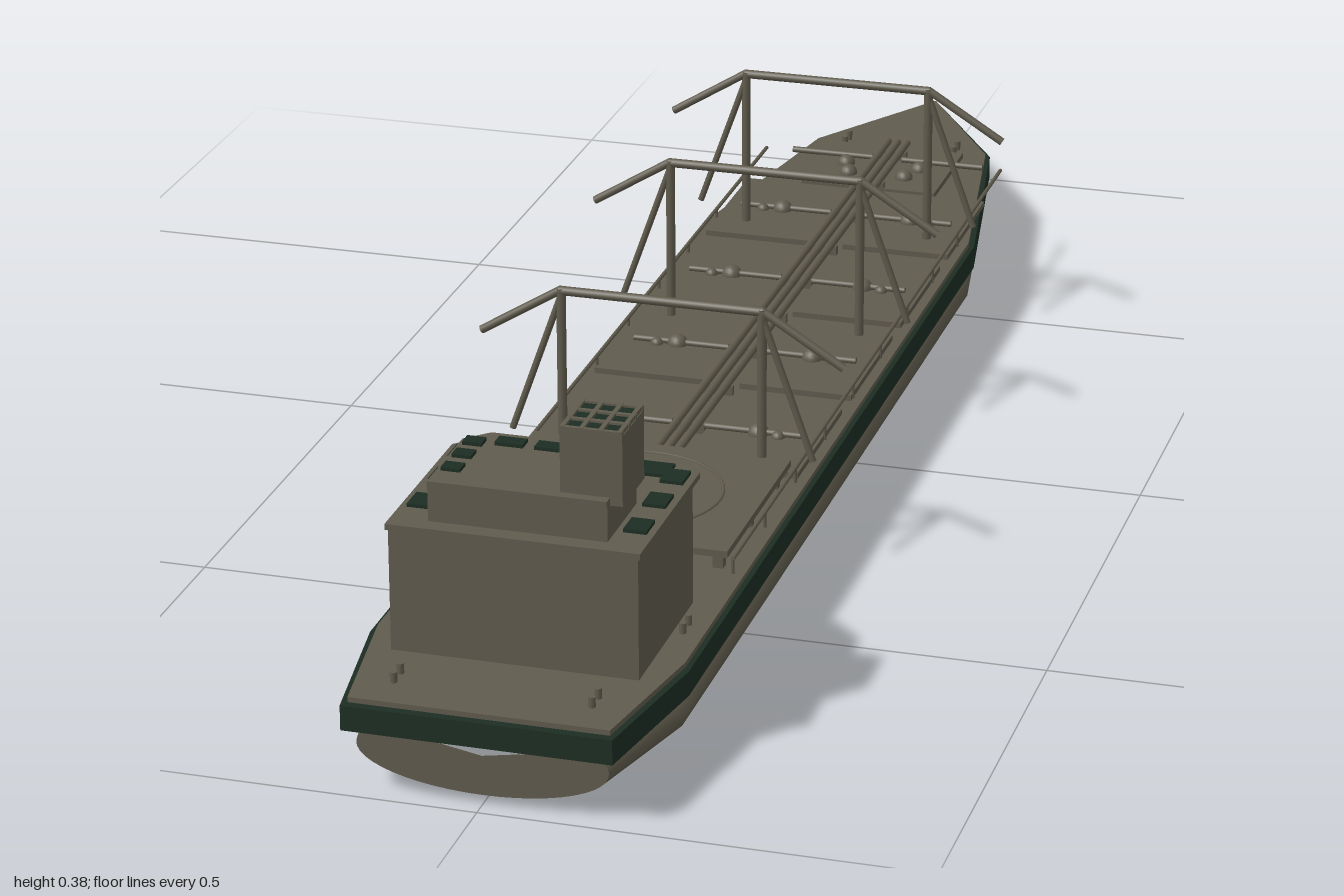
import * as THREE from 'three';
import { toCreasedNormals } from 'three/addons/utils/BufferGeometryUtils.js';

export function createModel() {
  const ship = new THREE.Group();
  ship.name = 'ship';
  const olive = new THREE.MeshStandardMaterial({ color: 0x605b4d });
  olive.name = 'olive grey';
  const green = new THREE.MeshStandardMaterial({ color: 0x1e2e24 });
  green.name = 'dark green';

  const add = (name, geo, mat = olive) => {
    const m = new THREE.Mesh(geo, mat);
    m.name = name;
    ship.add(m);
    return m;
  };
  const box = (name, x0, x1, y0, y1, z0, z1, mat) => {
    const g = new THREE.BoxGeometry(x1 - x0, y1 - y0, z1 - z0);
    return add(name, g.translate((x0 + x1) / 2, (y0 + y1) / 2, (z0 + z1) / 2), mat);
  };
  // round bar between two points
  const bar = (name, a, b, r) => {
    const p = new THREE.Vector3(...a), q = new THREE.Vector3(...b);
    const d = q.clone().sub(p);
    const m = add(name, new THREE.CylinderGeometry(r, r, d.length(), 10));
    m.position.copy(p).add(q).multiplyScalar(0.5);
    m.quaternion.setFromUnitVectors(new THREE.Vector3(0, 1, 0), d.normalize());
  };
  // horizontal slab from the +x half of its plan outline, given as (x, z)
  const slab = (name, half, y0, y1, mat) => {
    const all = [...half, ...half.map(([x, z]) => [-x, z]).reverse()];
    const s = new THREE.Shape(all.map(([x, z]) => new THREE.Vector2(x, -z)));
    const g = new THREE.ExtrudeGeometry(s, { depth: y1 - y0, bevelEnabled: false });
    return add(name, g.rotateX(-Math.PI / 2).translate(0, y0, 0), mat);
  };

  // Lower hull: clipped elliptical sections [z, half width, keel height]
  const stations = [[0.98, 0.14, 0.014], [0.82, 0.177, 0.004], [0.2, 0.177, 0.003],
    [-0.46, 0.176, 0.003], [-0.8, 0.118, 0.016], [-1, 0.002, 0.072]];
  const N = 32, start = Math.asin(0.35 / 0.65), pos = [], idx = [];
  stations.forEach(([z, w, keel]) => {
    const ry = (0.081 - keel) * 0.65;
    for (let j = 0; j <= N; j++) {
      const a = start - (j / N) * (Math.PI + 2 * start);
      pos.push(w * Math.cos(a), keel + ry + ry * Math.sin(a), z);
    }
  });
  for (let i = 0; i < stations.length - 1; i++) {
    for (let j = 0; j < N; j++) {
      const a = i * (N + 1) + j, b = a + N + 1;
      idx.push(a, a + 1, b, a + 1, b + 1, b);
    }
  }
  const centre = pos.length / 3;
  pos.push(0, 0.06, 0.98);
  for (let j = 0; j < N; j++) idx.push(centre, j + 1, j);
  const hull = new THREE.BufferGeometry();
  hull.setAttribute('position', new THREE.Float32BufferAttribute(pos, 3));
  hull.setIndex(idx);
  add('lowerHull', toCreasedNormals(hull, 0.5));

  // Green band and deck
  const plan = [[0.15, 1], [0.18, 0.82], [0.178, -0.48], [0.12, -0.81], [0.001, -1]];
  slab('hullBand', plan, 0.079, 0.108, green);
  slab('deck', plan.map(([x, z]) => [x * 0.965, z * 0.99]), 0.108, 0.114);

  // Deck panels with cross pipes and domes
  const dome = (x, y, z, r) => add('tankDome',
    new THREE.SphereGeometry(r, 12, 6, 0, Math.PI * 2, 0, Math.PI / 2).translate(x, y, z));
  for (const s of [-1, 1]) {
    const side = (name, x0, x1, ...rest) => box(name, Math.min(s * x0, s * x1), Math.max(s * x0, s * x1), ...rest);
    for (let i = 0; i < 4; i++) {
      const z = -0.51 + 0.24 * i;
      side('deckPanel', 0.022, 0.16, 0.114, 0.121, z - 0.1, z + 0.1);
      bar('crossPipe', [s * 0.02, 0.124, z], [s * 0.14, 0.124, z], 0.004);
      dome(s * 0.085, 0.121, z, 0.013);
      dome(s * 0.11, 0.121, z + 0.005, 0.008);
    }
    side('bowPanel', 0.022, 0.09, 0.114, 0.121, -0.78, -0.62);
    bar('bowCrossPipe', [s * 0.02, 0.124, -0.725], [s * 0.13, 0.124, -0.725], 0.004);
    dome(s * 0.05, 0.121, -0.7, 0.012);
    dome(s * 0.038, 0.121, -0.665, 0.012);
    // side rails on posts
    bar('sideRail', [s * 0.16, 0.132, -0.7], [s * 0.16, 0.132, 0.58], 0.0025);
    for (let z = -0.46; z < 0.6; z += 0.13) bar('railPost', [s * 0.16, 0.11, z], [s * 0.16, 0.132, z], 0.002);
    // bollards
    for (const [x, z] of [[0.11, 0.92], [0.075, -0.81], [0.15, 0.72]])
      for (const dz of [0, 0.022]) bar('bollard', [s * x, 0.112, z + dz], [s * x, 0.126, z + dz], 0.004);
  }

  // Centre pipelines
  for (const x of [-0.013, 0, 0.013]) bar('centrePipe', [x, 0.128, -0.78], [x, 0.128, 0.31], 0.005);
  for (let z = -0.75; z < 0.31; z += 0.12) box('pipeSupport', -0.02, 0.02, 0.112, 0.126, z - 0.004, z + 0.004);

  // Landing platform with ring
  box('platform', -0.155, 0.155, 0.134, 0.142, 0.32, 0.585);
  for (const x of [-0.14, 0.14]) for (const z of [0.34, 0.45, 0.565])
    box('platformLeg', x - 0.006, x + 0.006, 0.112, 0.134, z - 0.006, z + 0.006);
  add('platformRing', new THREE.TorusGeometry(0.108, 0.002, 6, 48).rotateX(Math.PI / 2).translate(0, 0.142, 0.452));

  // Gantry masts
  for (const z of [0.32, -0.12, -0.46]) {
    bar('gantryBeam', [-0.122, 0.321, z], [0.122, 0.321, z], 0.0055);
    for (const s of [-1, 1]) {
      bar('gantryPost', [s * 0.12, 0.11, z], [s * 0.12, 0.324, z], 0.0055);
      bar('gantryArm', [s * 0.12, 0.322, z], [s * 0.217, 0.262, z], 0.005);
      bar('gantryStay', [s * 0.12, 0.315, z], [s * 0.181, 0.143, z], 0.004);
    }
  }

  // Superstructure with chamfered forward corners
  const tier = (w, front, back, c) => [[w, back], [w, front + c], [w - c, front]];
  slab('accommodation', tier(0.139, 0.615, 0.868, 0.05), 0.112, 0.255);
  slab('accommodationRoof', tier(0.142, 0.612, 0.87, 0.035), 0.255, 0.262);
  slab('bridge', tier(0.1, 0.71, 0.85, 0.035), 0.262, 0.303);
  slab('bridgeRoof', tier(0.1, 0.708, 0.852, 0.025), 0.303, 0.309);

  // Dark plates on the roofs
  const plate = (x, z, w, d, y) => box('roofPlate', x - w / 2, x + w / 2, y, y + 0.004, z - d / 2, z + d / 2, green);
  for (const x of [-0.082, 0, 0.082]) plate(x, 0.656, 0.06, 0.032, 0.262);
  for (const x of [-0.121, 0.121]) for (const z of [0.67, 0.735, 0.805]) plate(x, z, 0.026, 0.032, 0.262);
  for (const x of [-0.045, 0, 0.045]) plate(x, 0.732, 0.032, 0.018, 0.309);
  for (const z of [0.74, 0.775, 0.812]) plate(-0.084, z, 0.022, 0.018, 0.309);

  // Funnel with a grille on top
  box('funnel', 0.045, 0.114, 0.3, 0.38, 0.762, 0.84);
  box('funnelGrille', 0.05, 0.109, 0.38, 0.382, 0.767, 0.835, green);
  for (let i = 0; i < 4; i++) {
    const x = 0.0475 + i * 0.021, z = 0.7645 + i * 0.0243;
    box('grilleBar', x - 0.0025, x + 0.0025, 0.379, 0.385, 0.762, 0.84);
    box('grilleBar', 0.045, 0.114, 0.379, 0.3845, z - 0.0025, z + 0.0025);
  }
  return ship;
}
